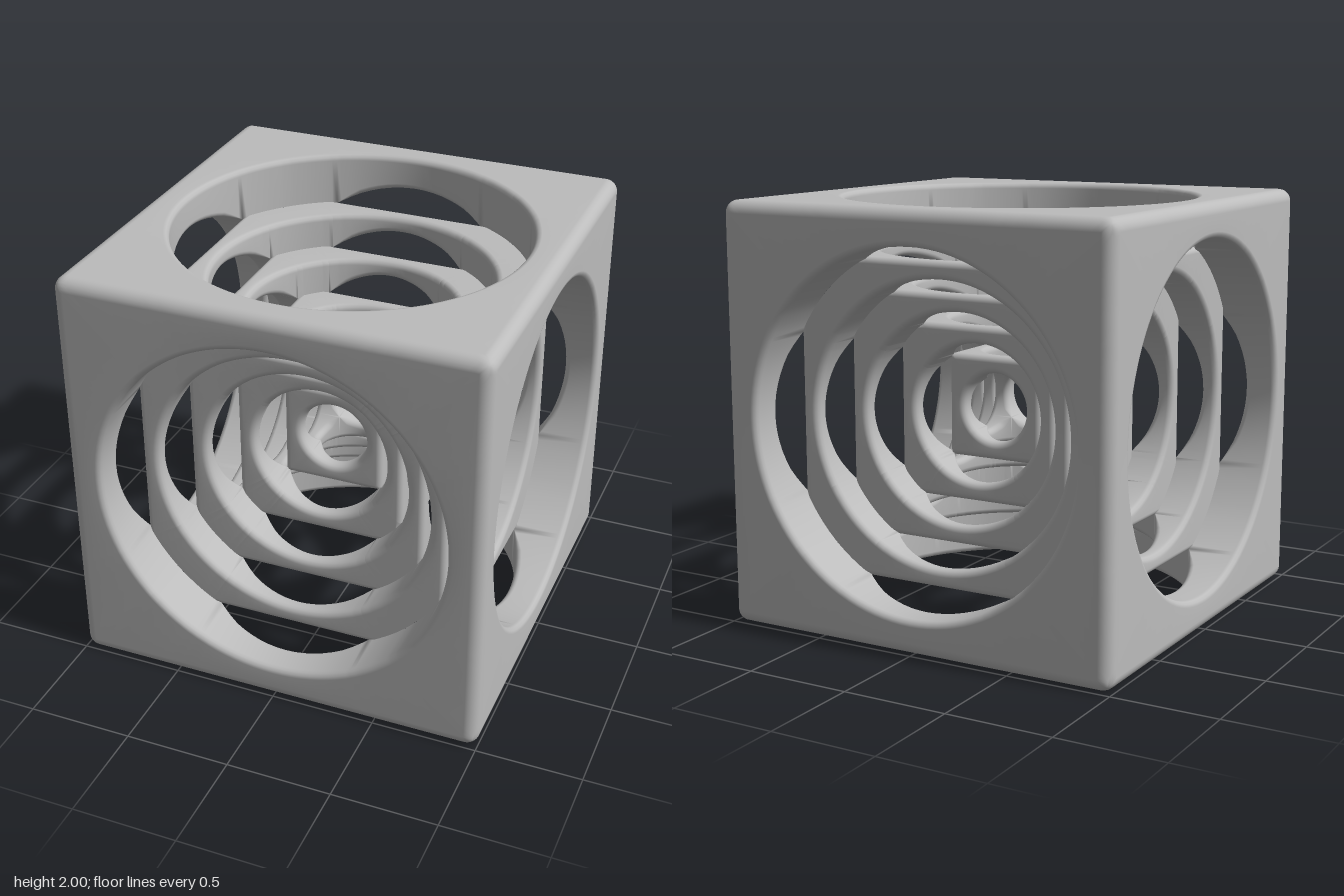
import * as THREE from 'three';
import { mergeVertices } from 'three/addons/utils/BufferGeometryUtils.js';

const LEVELS = 5;      // nested cubes, each bored from all six sides
const F = 0.03;        // rounding of inner edges
const R = 0.06;        // rounding of the outer cube
const STEPS = 3;       // segments per rounded edge
const bore = k => (LEVELS + 1 - k) / 6;                       // radius of bore k (1 = widest)
const floor = k => (k === LEVELS ? 0 : (LEVELS + 0.5 - k) / 6); // height of the floor of bore k
const ridge = d => d - F * (1 - Math.SQRT1_2);                // middle of a rounded cube edge

// Angles around a bore, mirrored over all octants, with the exact angles where edges meet
function ringAngles(k) {
  const list = [];
  for (let i = 0; i <= 14; i++) list.push((i / 14) * Math.PI / 4);
  for (const n of [k, k + 1]) {
    if (n === 0) continue;
    for (const m of [floor(n) - F, ridge(floor(n))]) {
      const a = Math.acos(Math.min(1, Math.max(0, m / bore(n))));
      if (a > 0 && a < Math.PI / 4) list.push(a);
    }
  }
  if (k === 0) for (let i = 0; i < 4; i++) list.push(Math.atan(1 - R + R * i / 4));
  list.sort((a, b) => a - b);
  const octant = list.filter((a, i) => i === 0 || a - list[i - 1] > 1e-4);
  const quarter = [...octant, ...octant.slice(1, -1).reverse().map(a => Math.PI / 2 - a)];
  return [0, 1, 2, 3].flatMap(q => quarter.map(a => a + q * Math.PI / 2));
}

// Section through one face of cube k at one angle, from its rim inwards and down the bore
function section(k, angle) {
  const c = Math.cos(angle), s = Math.sin(angle);
  const mx = Math.max(Math.abs(c), Math.abs(s));
  const pts = [];
  const polar = (rad, z) => pts.push([rad * c, rad * s, z]);

  // rounded rim of the cube face
  const top = k === 0 ? 1 : floor(k);
  if (k === 0) {
    const lim = 1 - R;
    for (let i = STEPS; i >= 0; i--) {
      const t = lim + R * Math.tan((i / STEPS) * Math.PI / 4);
      const q = new THREE.Vector3((t * c) / mx, (t * s) / mx, 1);
      const core = q.clone().clampScalar(-lim, lim);
      const p = q.sub(core).setLength(R).add(core);
      pts.push([p.x, p.y, p.z]);
    }
  } else {
    const m = Math.min(bore(k) * mx, ridge(top));
    const start = Math.asin(Math.max(0, m - top + F) / F);
    for (let i = STEPS; i >= 0; i--) {
      const a = (start * i) / STEPS;
      polar((Math.min(m, top - F) + F * Math.sin(a)) / mx, top - F + F * Math.cos(a));
    }
  }

  // rounded mouth of the next bore
  const r = bore(k + 1), d = floor(k + 1), m = r * mx;
  for (let i = 0; i <= STEPS; i++) {
    const a = (i / STEPS) * Math.PI / 2;
    polar(r + F - F * Math.sin(a), top - F + F * Math.cos(a));
  }

  // foot of the bore wall: on the floor, on a rounded edge, or meeting the sideways bore
  if (m <= ridge(d)) {
    const over = Math.max(0, m - d + F);
    const z = d - F + Math.sqrt(F * F - over * over);
    for (let i = 0; i <= STEPS; i++) polar(r, z);
  } else {
    const m0 = Math.max(ridge(d), r * Math.SQRT1_2);
    const f = F * Math.min(1, Math.max(0, (2 * (m - m0)) / (r - m0)));
    for (let i = 0; i <= STEPS; i++) {
      const a = (i / STEPS) * Math.PI / 4;
      const push = f * (1 - Math.cos(a)), z = m + f * (1 - Math.sin(a));
      if (Math.abs(c) >= Math.abs(s)) pts.push([r * c + Math.sign(c) * push, r * s, z]);
      else pts.push([r * c, r * s + Math.sign(s) * push, z]);
    }
  }
  return pts;
}

// All six faces of cube k, welded into one smooth skin
function cubeGeometry(k) {
  const rings = ringAngles(k).map(a => section(k, a));
  const n = rings.length, rows = rings[0].length;
  const pos = [], index = [];
  for (let axis = 0; axis < 3; axis++) {
    for (const side of [1, -1]) {
      const base = pos.length / 3;
      for (const ring of rings) {
        for (const [u, v, w] of ring) {
          const p = [u, v * side, w * side];
          pos.push(p[axis], p[(axis + 1) % 3], p[(axis + 2) % 3]);
        }
      }
      for (let i = 0; i < n; i++) {
        for (let j = 0; j < rows - 1; j++) {
          const a = base + i * rows + j, b = a + 1;
          const e = base + ((i + 1) % n) * rows + j, g = e + 1;
          index.push(a, e, b, e, g, b);
        }
      }
    }
  }
  let geo = new THREE.BufferGeometry();
  geo.setAttribute('position', new THREE.Float32BufferAttribute(pos, 3));
  geo.setIndex(index);
  geo = mergeVertices(geo, 1e-4);
  // drop triangles that collapsed in welding
  const id = geo.index.array, kept = [];
  for (let i = 0; i < id.length; i += 3) {
    const [a, b, c] = [id[i], id[i + 1], id[i + 2]];
    if (a !== b && b !== c && c !== a) kept.push(a, b, c);
  }
  geo.setIndex(kept);
  geo.computeVertexNormals();
  return geo;
}

export function createModel() {
  const grey = new THREE.MeshStandardMaterial({ color: 0xbcbcbc });
  grey.name = 'grey';
  const model = new THREE.Group();
  model.name = 'nestedCubes';
  for (let k = 0; k < LEVELS; k++) {
    const cube = new THREE.Mesh(cubeGeometry(k), grey);
    cube.name = k === 0 ? 'outerCube' : `innerCube${k}`;
    cube.position.y = 1;
    model.add(cube);
  }
  return model;
}
